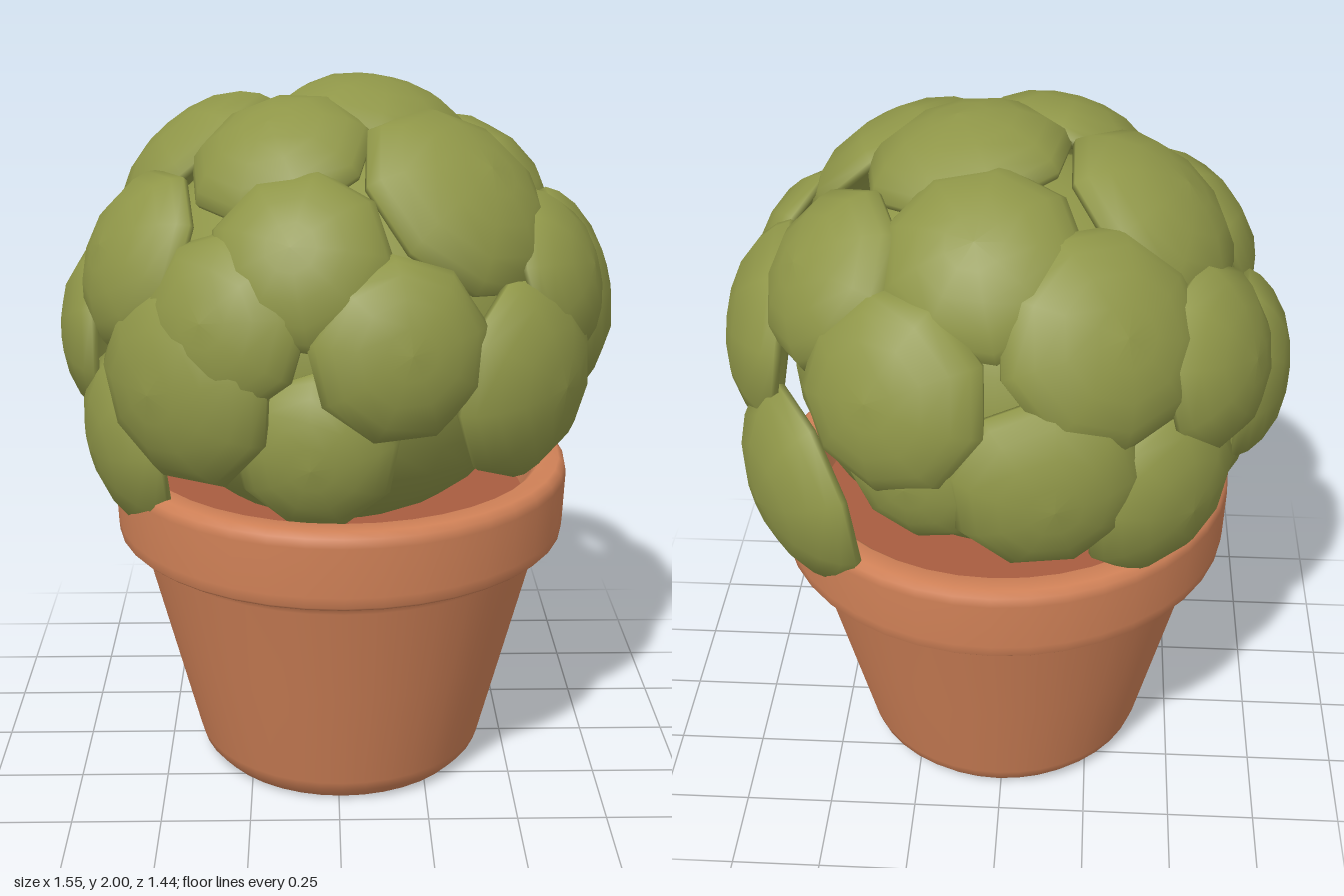
import * as THREE from 'three';

const CENTER_Y = 1.3;

// Domed leaf clumps: x, y, z of the centre, radius, optional outward factor
const LEAVES = [
  // crown
  [0.13, 2.0, -0.01, 0.28], [-0.39, 1.76, -0.08, 0.28], [0.05, 1.78, -0.39, 0.27],
  [0.45, 1.66, -0.28, 0.25], [0.33, 1.73, 0.29, 0.3], [-0.15, 1.81, 0.24, 0.25],
  [-0.28, 1.61, -0.48, 0.29],
  // front
  [-0.1, 1.6, 0.5, 0.24, 1.01], [0.16, 1.41, 0.65, 0.24, 1.01], [-0.29, 1.45, 0.52, 0.24],
  [-0.43, 1.28, 0.5, 0.29], [-0.53, 1.56, 0.26, 0.25], [-0.07, 1.12, 0.6, 0.22, 0.95],
  [0.49, 1.27, 0.4, 0.28],
  // left side, the last one hanging over the rim
  [0.57, 1.5, 0.22, 0.23], [0.72, 1.4, -0.06, 0.3], [0.66, 1.02, -0.4, 0.3, 1.08],
  // right side, the first hanging over the rim
  [-0.7, 1.0, 0.24, 0.27, 1.02], [-0.71, 1.29, -0.05, 0.26], [-0.57, 1.46, -0.3, 0.25],
  // back
  [-0.14, 1.25, -0.64, 0.26], [-0.44, 1.15, -0.45, 0.26], [0.22, 1.25, -0.62, 0.22, 0.93],
  [0.28, 1.48, -0.57, 0.27, 1.01],
];

const mat = (color, side = THREE.FrontSide) =>
  new THREE.MeshStandardMaterial({ color, side });
const points = list => list.map(([x, y]) => new THREE.Vector2(x, y));

function add(parent, name, geometry, material) {
  const mesh = new THREE.Mesh(geometry, material);
  mesh.name = name;
  parent.add(mesh);
  return mesh;
}

function createPot() {
  const pot = new THREE.Group();
  pot.name = 'pot';
  pot.position.x = 0.01;
  const clay = mat(0xd08157, THREE.DoubleSide);
  // tapered body with a bevelled foot, stepping out into a thick collar open inside
  add(pot, 'potShell', new THREE.LatheGeometry(points([
    [0, 0], [0.37, 0], [0.385, 0.006], [0.415, 0.04], [0.425, 0.07],
    [0.5, 0.37], [0.575, 0.67], [0.584, 0.7], [0.632, 0.71], [0.643, 0.72],
    [0.645, 0.75], [0.65, 0.89], [0.645, 0.915], [0.628, 0.93], [0.575, 0.93],
    [0.558, 0.915], [0.55, 0.88], [0.53, 0.78],
  ]), 40), clay);
  // fill inside the pot
  const fill = add(pot, 'potFill', new THREE.CircleGeometry(0.54, 40), mat(0xa85c40));
  fill.rotation.x = -Math.PI / 2;
  fill.position.y = 0.8;
  return pot;
}

function createFoliage() {
  const foliage = new THREE.Group();
  foliage.name = 'foliage';
  foliage.position.y = CENTER_Y;
  const green = mat(0x8f9648);

  // inner ball that fills the gaps between clumps
  const core = add(foliage, 'foliageCore', new THREE.SphereGeometry(1, 24, 16), green);
  core.scale.set(0.59, 0.55, 0.55);

  // unit clump: nine-sided dome with a thin edge and hollow underside, apex at the origin
  const dome = new THREE.LatheGeometry(points([
    [0, -0.3], [0.5, -0.36], [0.9, -0.54], [0.98, -0.56], [1, -0.5], [0.94, -0.38],
    [0.8, -0.24], [0.56, -0.1], [0.28, -0.025], [0, 0],
  ]), 9);
  const up = new THREE.Vector3(0, 1, 0);
  LEAVES.forEach(([x, y, z, r, out = 1], i) => {
    const p = new THREE.Vector3(x, y - CENTER_Y, z);
    // place the apex on the overall rounded outline
    p.multiplyScalar(out / Math.hypot(p.x / 0.78, p.y / 0.7, p.z / 0.725));
    const leaf = add(foliage, 'leafClump' + (i + 1), dome, green);
    leaf.position.copy(p);
    // low clumps hang almost upright
    const facing = p.clone();
    if (facing.y < 0) facing.y *= 0.4;
    leaf.quaternion.setFromUnitVectors(up, facing.normalize());
    leaf.rotateY(i * 1.3);
    leaf.scale.setScalar(r);
  });
  return foliage;
}

export function createModel() {
  const model = new THREE.Group();
  model.name = 'pottedShrub';
  model.add(createPot(), createFoliage());
  return model;
}
